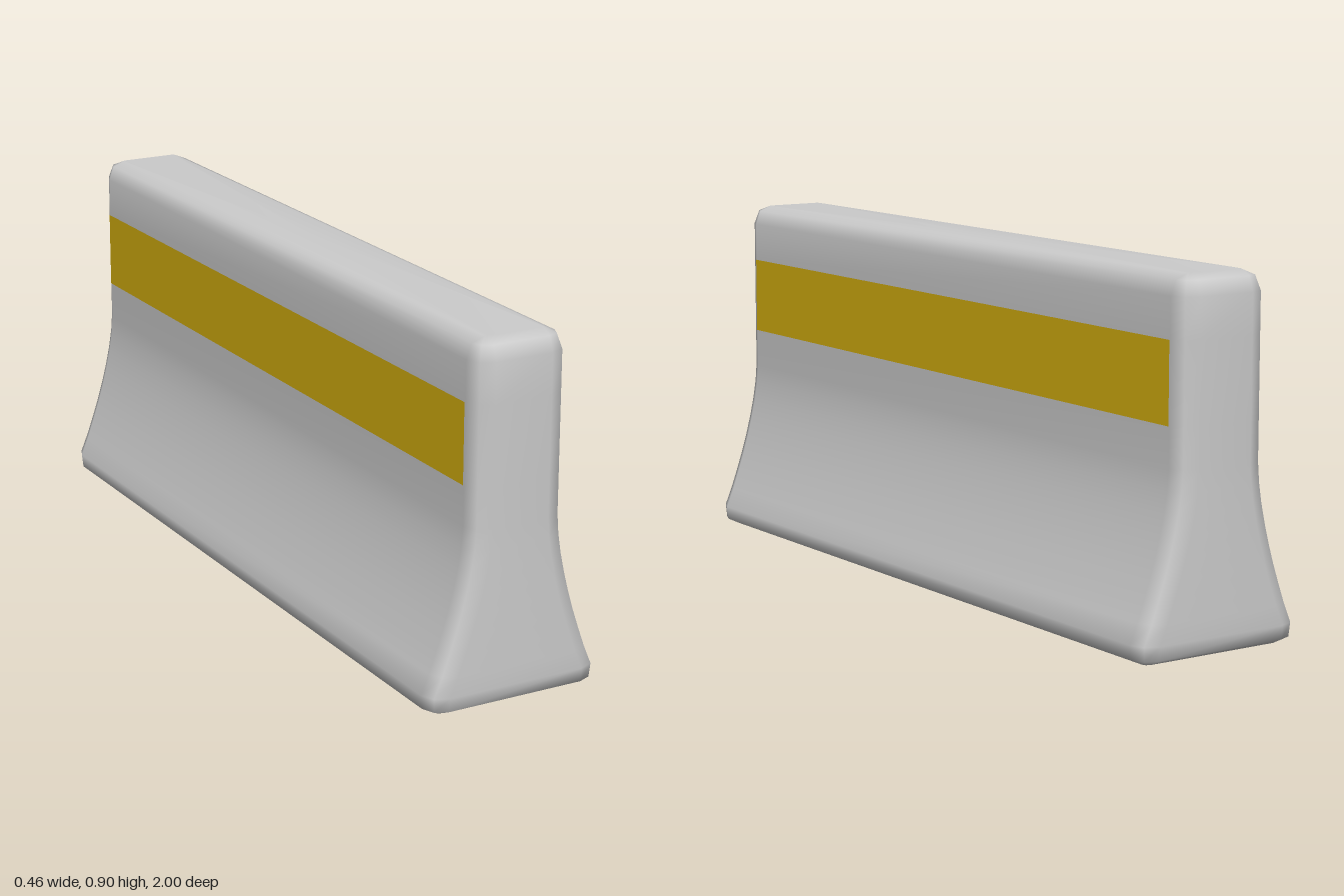
import * as THREE from 'three';

const HALF_LENGTH = 1;
const RADIUS = 0.05;

// Horizontal levels from bottom to top: [height, half width, edge inset]
const LEVELS = [
  [0, 0.232, 0.035], [0.015, 0.232, 0.004], [0.05, 0.232, 0],
  [0.1, 0.211, 0], [0.15, 0.193, 0], [0.2, 0.176, 0], [0.25, 0.161, 0],
  [0.3, 0.148, 0], [0.35, 0.137, 0], [0.4, 0.129, 0], [0.45, 0.125, 0],
  [0.55, 0.125, 0], [0.75, 0.125, 0], [0.85, 0.125, 0],
  [0.887, 0.125, 0.014], [0.9, 0.125, 0.045],
];

// Rounded rectangle in the xz plane, two chamfer steps per corner
function ring(halfX, halfZ, r) {
  const pts = [];
  for (let q = 0; q < 4; q++) {
    const sx = q === 0 || q === 3 ? 1 : -1;
    const sz = q < 2 ? 1 : -1;
    for (let k = 0; k <= 2; k++) {
      const a = (q + k / 2) * Math.PI / 2;
      pts.push([sx * (halfX - r) + r * Math.cos(a), sz * (halfZ - r) + r * Math.sin(a)]);
    }
  }
  return pts;
}

// Stack the rings, join neighbours and close both ends
function barrierGeometry() {
  const positions = [], indices = [];
  const n = 12;
  LEVELS.forEach(([y, w, inset], i) => {
    const r = Math.max(RADIUS - inset, 0.008);
    for (const [x, z] of ring(w - inset, HALF_LENGTH - inset, r)) positions.push(x, y, z);
    if (i === 0) return;
    for (let j = 0; j < n; j++) {
      const a = (i - 1) * n + j, b = (i - 1) * n + (j + 1) % n;
      indices.push(a, a + n, b, b, a + n, b + n);
    }
  });
  const last = (LEVELS.length - 1) * n;
  const bottom = positions.length / 3, top = bottom + 1;
  positions.push(0, 0, 0, 0, LEVELS[LEVELS.length - 1][0], 0);
  for (let j = 0; j < n; j++) {
    const k = (j + 1) % n;
    indices.push(bottom, j, k, top, last + k, last + j);
  }
  const geo = new THREE.BufferGeometry();
  geo.setAttribute('position', new THREE.Float32BufferAttribute(positions, 3));
  geo.setIndex(indices);
  geo.computeVertexNormals();
  return geo;
}

export function createModel() {
  const group = new THREE.Group();
  group.name = 'roadBarrier';

  // Concrete body
  const body = new THREE.Mesh(barrierGeometry(), new THREE.MeshStandardMaterial({ color: 0xcccccc }));
  body.name = 'concreteBody';
  group.add(body);

  // Yellow stripe on each long side
  const yellow = new THREE.MeshStandardMaterial({ color: 0xd4af0f });
  for (const side of [1, -1]) {
    const stripe = new THREE.Mesh(new THREE.PlaneGeometry(1.9, 0.2), yellow);
    stripe.name = side > 0 ? 'leftStripe' : 'rightStripe';
    stripe.position.set(side * 0.127, 0.65, 0);
    stripe.rotation.y = side * Math.PI / 2;
    group.add(stripe);
  }
  return group;
}
